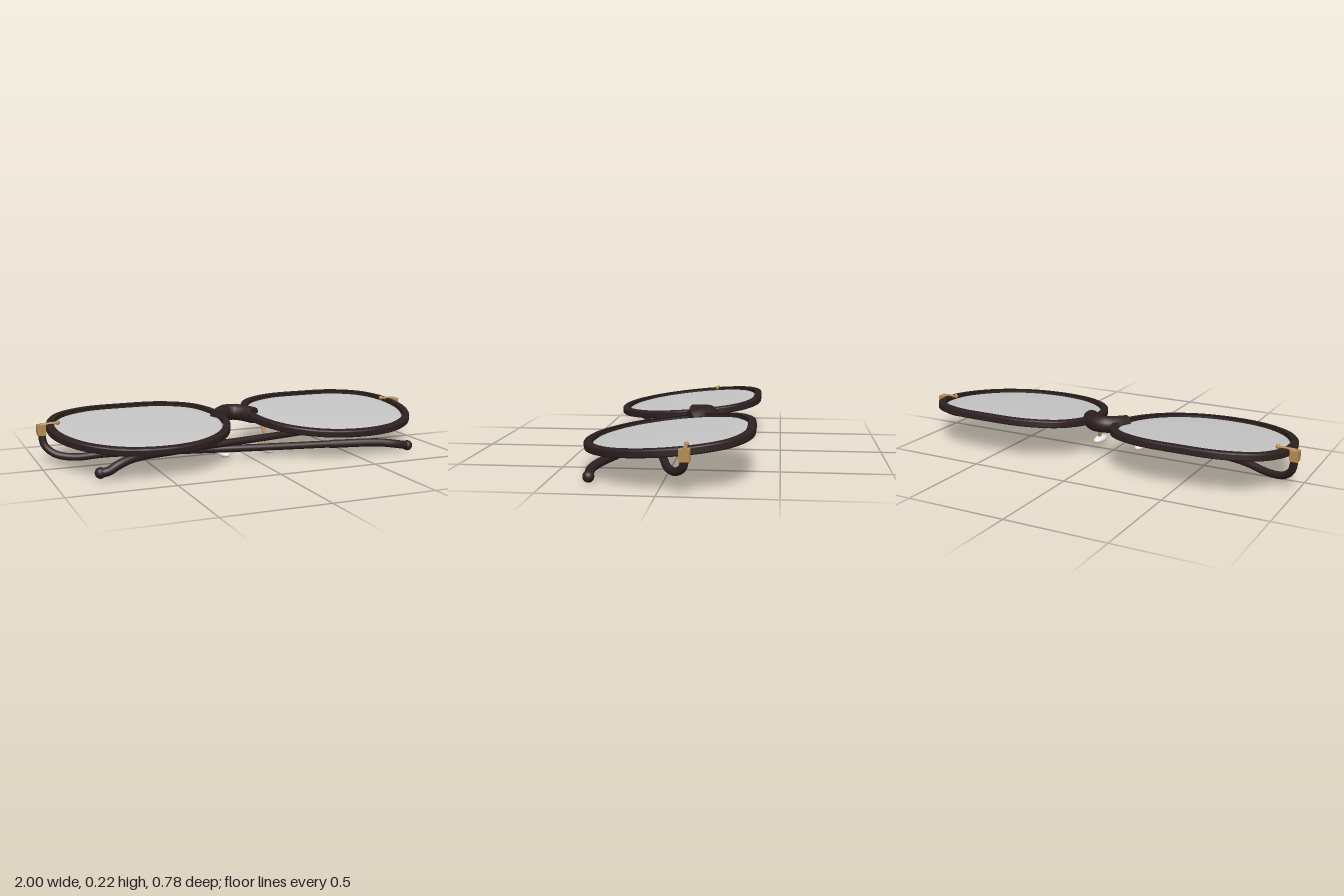
import * as THREE from 'three';
import { toCreasedNormals } from 'three/addons/utils/BufferGeometryUtils.js';

const V = (x, y, z) => new THREE.Vector3(x, y, z);

function material(name, color, side = THREE.FrontSide) {
  const m = new THREE.MeshStandardMaterial({ color, side });
  m.name = name;
  return m;
}

function add(parent, name, geometry, mat, x = 0, y = 0, z = 0) {
  const mesh = new THREE.Mesh(geometry, mat);
  mesh.name = name;
  mesh.position.set(x, y, z);
  parent.add(mesh);
  return mesh;
}

// Centre line of one rim, around its own middle (y points to the brow)
const half = [[0, 0.37], [0.2, 0.357], [0.345, 0.285], [0.412, 0.17], [0.427, 0.03],
  [0.398, -0.1], [0.32, -0.23], [0.18, -0.33], [0, -0.364]];
const loop = [...half, ...half.slice(1, -1).reverse().map(([x, y]) => [-x, y])];
const rimCurve = new THREE.CatmullRomCurve3(loop.map(([x, y]) => V(x, y, 0)), true);

// Rim outline moved outwards by d
function outline(d, n = 96) {
  const pts = [];
  for (let i = 0; i < n; i++) {
    const p = rimCurve.getPoint(i / n), t = rimCurve.getTangent(i / n);
    pts.push(new THREE.Vector2(p.x - t.y * d, p.y + t.x * d));
  }
  return pts;
}

function rimGeometry() {
  const shape = new THREE.Shape(outline(0.014));
  shape.holes.push(new THREE.Path(outline(-0.014)));
  const g = new THREE.ExtrudeGeometry(shape, {
    depth: 0.02, bevelEnabled: true, bevelThickness: 0.008, bevelSize: 0.008, bevelSegments: 3,
  });
  g.translate(0, 0, -0.01);
  return toCreasedNormals(g, 0.7);
}

// Lens: shallow domes made of shrinking rings on both faces
function lensGeometry() {
  const edge = outline(-0.015), n = edge.length;
  const rings = [[0.02, 0.016], [0.5, 0.014], [0.8, 0.011], [0.92, 0.007], [0.98, 0.002], [1, -0.002],
    [0.98, -0.006], [0.92, -0.009], [0.8, -0.011], [0.5, -0.012], [0.02, -0.012]];
  const pos = [], idx = [];
  rings.forEach(([s, h]) => edge.forEach((p) => pos.push(p.x * s, p.y * s, h)));
  for (let r = 0; r < rings.length - 1; r++) {
    for (let i = 0; i < n; i++) {
      const a = r * n + i, b = r * n + (i + 1) % n;
      idx.push(a, b, a + n, b, b + n, a + n);
    }
  }
  const last = (rings.length - 1) * n;
  for (let i = 1; i < n - 1; i++) idx.push(0, i + 1, i, last, last + i, last + i + 1);
  const g = new THREE.BufferGeometry();
  g.setAttribute('position', new THREE.Float32BufferAttribute(pos, 3));
  g.setIndex(idx);
  g.computeVertexNormals();
  return g;
}

// Straight rod between two points
function rod(parent, name, a, b, r0, r1, mat) {
  const d = b.clone().sub(a);
  const mesh = add(parent, name, new THREE.CylinderGeometry(r1, r0, d.length(), 16), mat);
  mesh.position.copy(a).addScaledVector(d, 0.5);
  mesh.quaternion.setFromUnitVectors(V(0, 1, 0), d.normalize());
  return mesh;
}

export function createModel() {
  const model = new THREE.Group();
  model.name = 'foldedGlasses';
  const brown = material('darkBrown', 0x2e2020, THREE.DoubleSide);
  const glass = material('lensGrey', 0xc4c4c4, THREE.DoubleSide);
  const gold = material('gold', 0xb38c50);
  const white = material('padWhite', 0xf0f0f0);

  // Front frame leans down towards the front
  const front = new THREE.Group();
  front.name = 'frontFrame';
  front.position.y = 0.168;
  front.rotation.x = 0.099;
  model.add(front);
  const rimGeo = rimGeometry(), lensGeo = lensGeometry();
  for (const s of [-1, 1]) {
    const side = s > 0 ? 'left' : 'right';
    add(front, side + 'Rim', rimGeo, brown, s * 0.511).rotation.x = -Math.PI / 2;
    add(front, side + 'Lens', lensGeo, glass, s * 0.511).rotation.x = -Math.PI / 2;
  }

  // Arched bridge with flat ends
  const arch = new THREE.CatmullRomCurve3([V(-0.1, 0, -0.05), V(-0.066, 0, -0.103),
    V(-0.028, 0, -0.136), V(0, 0, -0.141), V(0.028, 0, -0.136), V(0.066, 0, -0.103), V(0.1, 0, -0.05)]);
  add(front, 'bridge', new THREE.TubeGeometry(arch, 32, 0.042, 16), brown);
  for (const t of [0, 1]) {
    const p = arch.getPoint(t);
    const cap = add(front, 'bridgeEnd', new THREE.CircleGeometry(0.042, 16), brown, p.x, p.y, p.z);
    cap.quaternion.setFromUnitVectors(V(0, 0, 1), arch.getTangent(t).multiplyScalar(t ? 1 : -1));
  }

  for (const s of [-1, 1]) {
    const side = s > 0 ? 'left' : 'right';
    // Nose pad on its arm
    add(model, side + 'NosePad', new THREE.SphereGeometry(1, 32, 16), white, s * 0.12, 0.02, 0.08)
      .scale.set(0.027, 0.018, 0.057);
    rod(model, side + 'PadArm', V(s * 0.122, 0.03, 0.078), V(s * 0.108, 0.16, 0.032), 0.009, 0.009, gold);

    // Hinge block, knob and pin
    add(model, side + 'HingeBlock', new THREE.BoxGeometry(0.04, 0.05, 0.046), gold, s * 0.98, 0.17, -0.117);
    rod(model, side + 'HingePin', V(s * 0.9, 0.2, -0.117), V(s * 0.985, 0.192, -0.117), 0.006, 0.011, gold);
    add(model, side + 'HingeKnob', new THREE.SphereGeometry(0.011, 16, 12), gold, s * 0.9, 0.2, -0.117);
  }

  // Folded temples: the left one lies above the right one
  const temples = {
    left: [V(0.98, 0.155, -0.118), V(0.97, 0.115, -0.108), V(0.93, 0.09, -0.075), V(0.85, 0.086, -0.035),
      V(0.7, 0.096, 0.005), V(0.35, 0.098, 0.085), V(0, 0.099, 0.163), V(-0.4, 0.099, 0.24),
      V(-0.64, 0.097, 0.305), V(-0.72, 0.075, 0.322), V(-0.765, 0.05, 0.32), V(-0.8, 0.043, 0.31)],
    right: [V(-0.98, 0.155, -0.118), V(-0.968, 0.095, -0.11), V(-0.925, 0.055, -0.085), V(-0.84, 0.04, -0.045),
      V(-0.7, 0.054, 0.005), V(-0.35, 0.056, 0.085), V(0, 0.056, 0.163), V(0.4, 0.056, 0.24),
      V(0.64, 0.056, 0.3), V(0.72, 0.046, 0.32), V(0.8, 0.03, 0.315)],
  };
  for (const [side, pts] of Object.entries(temples)) {
    const path = new THREE.CatmullRomCurve3(pts);
    add(model, side + 'Temple', new THREE.TubeGeometry(path, 120, 0.018, 14), brown);
    // Thicker sleeve over the ear end
    const ear = pts.slice(7);
    add(model, side + 'TempleSleeve', new THREE.TubeGeometry(new THREE.CatmullRomCurve3(ear), 48, 0.021, 14), brown);
    for (const [p, r] of [[ear[0], 0.021], [ear[ear.length - 1], 0.026]]) {
      add(model, side + 'SleeveEnd', new THREE.SphereGeometry(r, 16, 12), brown, p.x, p.y, p.z);
    }
  }
  return model;
}
